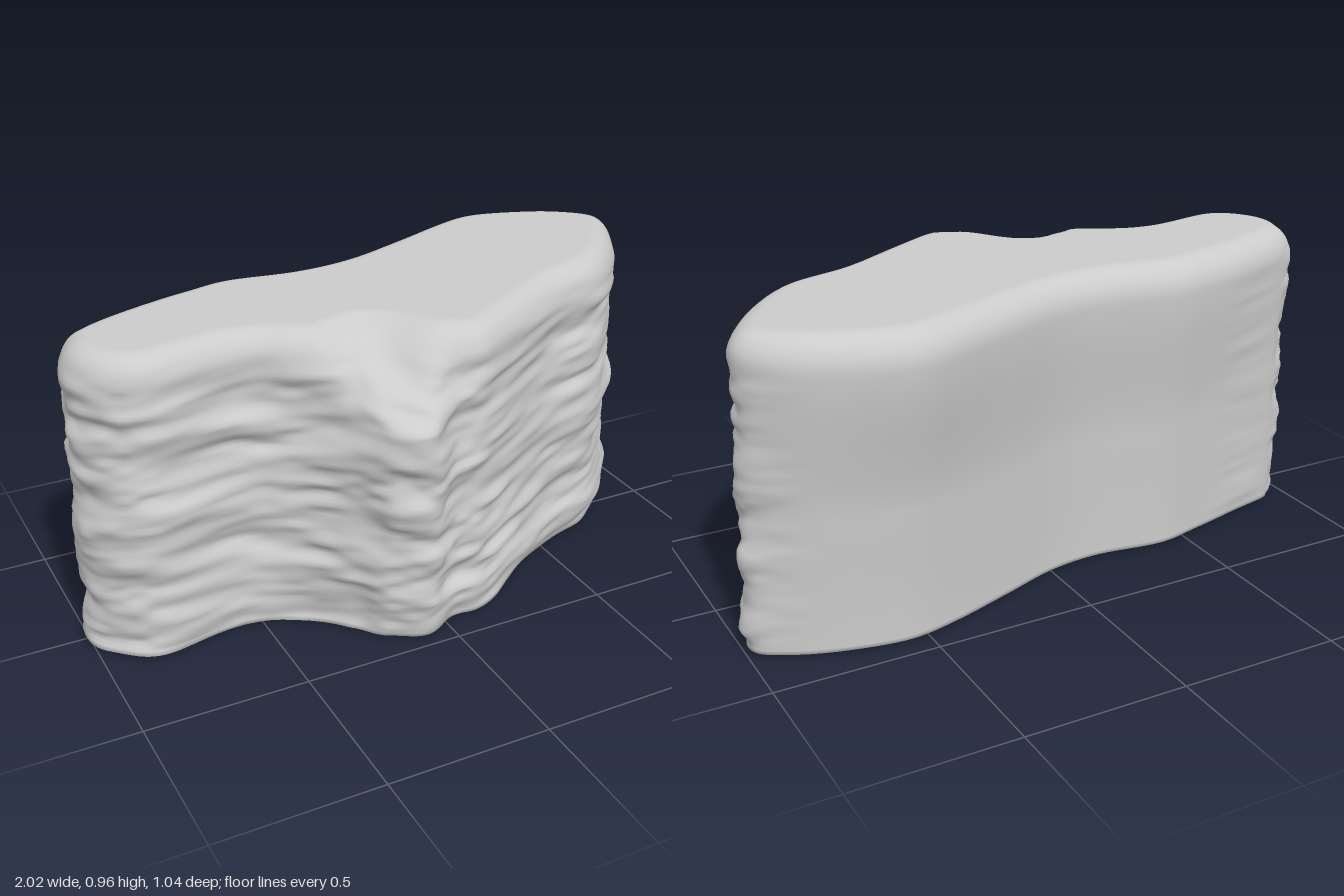
import * as THREE from 'three';

const { lerp, smoothstep, clamp } = THREE.MathUtils;

// Outline seen from above (x, z): along the back, then along the front
const BACK = [[-0.91, -0.15], [-0.57, -0.235], [-0.40, -0.27], [-0.18, -0.245], [0.00, -0.265],
  [0.20, -0.335], [0.39, -0.40], [0.55, -0.435], [0.71, -0.415], [0.87, -0.365]];
const FRONT = [[0.98, -0.29], [0.97, -0.20], [0.86, -0.03], [0.71, 0.11], [0.50, 0.19],
  [0.30, 0.31], [0.13, 0.41], [0.02, 0.435], [-0.09, 0.515], [-0.20, 0.475], [-0.28, 0.36],
  [-0.40, 0.225], [-0.55, 0.16], [-0.80, 0.20], [-0.92, 0.155], [-0.99, 0.05], [-0.99, -0.06]];
const SIDES = 240;

// Seeded smooth value noise in the range -1 to 1
function hash(i, j) {
  const s = Math.sin(i * 127.1 + j * 311.7) * 43758.5453;
  return (s - Math.floor(s)) * 2 - 1;
}
function noise(x, y) {
  const i = Math.floor(x), j = Math.floor(y);
  const sx = smoothstep(x - i, 0, 1), sy = smoothstep(y - j, 0, 1);
  return lerp(lerp(hash(i, j), hash(i + 1, j), sx), lerp(hash(i, j + 1), hash(i + 1, j + 1), sx), sy);
}

// Wavy horizontal rock layers
function strata(u, y) {
  const bend = y + 0.025 * noise(u * 14, y * 3);
  return 0.013 * noise(u * 16, bend * 13)
    + 0.011 * noise(u * 26 + 9, bend * 25)
    + 0.006 * noise(u * 50 + 31, bend * 45) - 0.004;
}

const bump = (x, centre, width) => Math.exp(-(((x - centre) / width) ** 2));

// One closed ring of the rock at height y, moved inward by inset
function makeRing(curve, y, inset) {
  const flare = 0.25 * smoothstep(y, 0, 0.6) + 0.75 * smoothstep(y, 0.42, 0.88);
  const chute = clamp((y - 0.72) / 0.23, 0, 1);
  const taper = 0.24 * clamp(1 - y / 0.7, 0, 1) ** 1.4;
  const fade = 1 - 0.9 * smoothstep(y, 0.8, 0.93);
  const count = BACK.length + FRONT.length;

  // The back flares outward at the top; the front spur is cut away by a sloping chute
  const plan = [];
  for (let i = 0; i < SIDES; i++) {
    const p = curve.getPoint(i / SIDES);
    const k = i / SIDES * count;
    const back = smoothstep(k, -0.5, 1) * (1 - smoothstep(k, BACK.length - 1.5, BACK.length + 1))
      + smoothstep(k, count - 1, count) * 0.2;
    const front = smoothstep(k, BACK.length, BACK.length + 2) * (1 - smoothstep(k, count - 2, count));
    const overhang = back * (0.055 + 0.03 * bump(p.x, 0.55, 0.25));
    const cut = front * 0.29 * bump(p.x, -0.16, 0.13);
    plan.push({
      x: p.x,
      z: p.z - overhang * flare - cut * Math.max(chute, taper),
      rough: clamp(1 - back, 0, 1) * fade,
    });
  }

  return plan.map((p, i) => {
    const a = plan[(i + SIDES - 1) % SIDES], b = plan[(i + 1) % SIDES];
    const tx = b.x - a.x, tz = b.z - a.z, len = Math.hypot(tx, tz);
    const seam = smoothstep(i, 0, 6);
    const push = p.rough * seam * strata(i / SIDES, y) - inset;
    return new THREE.Vector3(p.x + tz / len * push, y, p.z - tx / len * push);
  });
}

// Triangles filling a closed ring, facing up or down
function capIndices(ring, up) {
  const pts = ring.map(p => new THREE.Vector2(p.x, -p.z));
  return THREE.ShapeUtils.triangulateShape(pts, []).flatMap(([a, b, c]) => {
    const ccw = THREE.ShapeUtils.area([pts[a], pts[b], pts[c]]) > 0;
    return ccw === up ? [a, b, c] : [a, c, b];
  });
}

function makeMesh(name, points, indices) {
  const geometry = new THREE.BufferGeometry().setFromPoints(points);
  geometry.setIndex(indices);
  geometry.computeVertexNormals();
  const mesh = new THREE.Mesh(geometry, new THREE.MeshStandardMaterial({ color: 0xcccccc }));
  mesh.name = name;
  return mesh;
}

export function createModel() {
  const corners = [...BACK, ...FRONT].map(([x, z]) => new THREE.Vector3(x, 0, z));
  const curve = new THREE.CatmullRomCurve3(corners, true, 'catmullrom', 0.5);

  // Foot, straight wall, then rounded rim
  const rings = [makeRing(curve, 0.004, 0.014)];
  for (let k = 0; k <= 70; k++) rings.push(makeRing(curve, 0.012 + 0.853 * k / 70, 0));
  for (let k = 1; k <= 12; k++) {
    const a = k / 12 * Math.PI / 2;
    rings.push(makeRing(curve, 0.865 + 0.098 * Math.sin(a), 0.085 * (1 - Math.cos(a))));
  }

  // Walls and top in one smooth surface
  const indices = [];
  const last = rings.length - 1;
  for (let j = 0; j < last; j++) {
    for (let i = 0; i < SIDES; i++) {
      const a = j * SIDES + i, b = j * SIDES + (i + 1) % SIDES;
      indices.push(a, a + SIDES, b, b, a + SIDES, b + SIDES);
    }
  }
  for (const i of capIndices(rings[last], true)) indices.push(i + last * SIDES);

  const group = new THREE.Group();
  group.name = 'cliff';
  group.add(
    makeMesh('cliffRock', rings.flat(), indices),
    makeMesh('underside', rings[0], capIndices(rings[0], false)),
  );
  return group;
}
